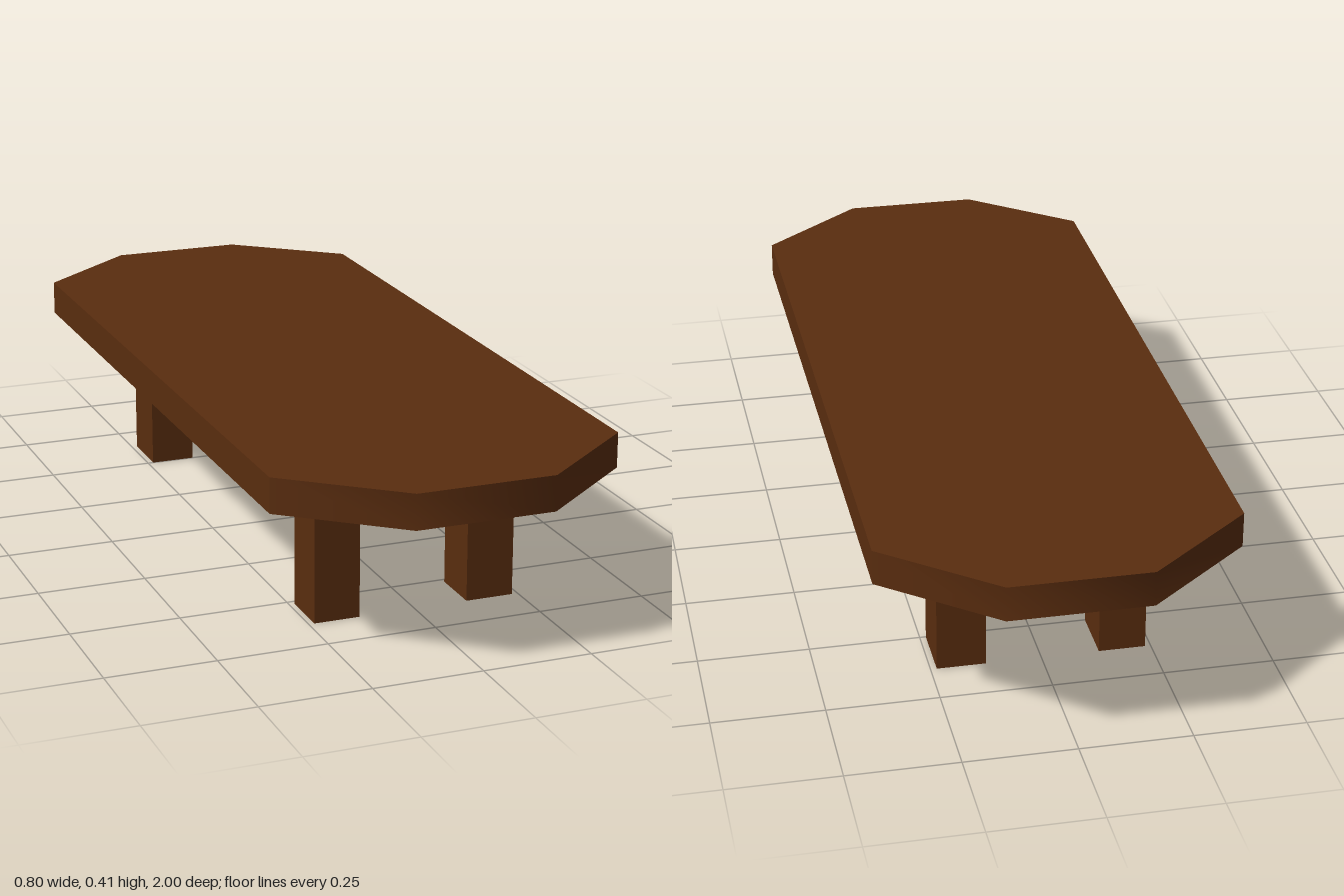
import * as THREE from 'three';
import { toCreasedNormals } from 'three/addons/utils/BufferGeometryUtils.js';

const LEG_HEIGHT = 0.333;
const TOP_THICKNESS = 0.08;

export function createModel() {
  const group = new THREE.Group();
  group.name = 'table';
  const wood = new THREE.MeshStandardMaterial({ color: 0x5a2d0f });
  wood.name = 'dark brown wood';

  // Tabletop: long slab with cut corners, softly shaded around each end
  const outline = [
    [0.4, -0.8], [0.4, 0.8], [0.157, 1], [-0.157, 1],
    [-0.4, 0.8], [-0.4, -0.8], [-0.157, -1], [0.157, -1],
  ].map(([x, y]) => new THREE.Vector2(x, y));
  const slab = new THREE.ExtrudeGeometry(new THREE.Shape(outline), {
    depth: TOP_THICKNESS,
    bevelEnabled: false,
  });
  slab.rotateX(-Math.PI / 2);
  const tableTop = new THREE.Mesh(toCreasedNormals(slab, Math.PI / 4), wood);
  tableTop.name = 'tableTop';
  tableTop.position.y = LEG_HEIGHT;
  group.add(tableTop);

  // Four square posts, given by their extents in x and z
  const sidesX = { Right: [-0.237, -0.131], Left: [0.125, 0.236] };
  const endsZ = { front: [0.513, 0.635], back: [-0.635, -0.5] };
  for (const [end, [z0, z1]] of Object.entries(endsZ)) {
    for (const [side, [x0, x1]] of Object.entries(sidesX)) {
      const leg = new THREE.Mesh(new THREE.BoxGeometry(x1 - x0, LEG_HEIGHT, z1 - z0), wood);
      leg.name = `${end}${side}Leg`;
      leg.position.set((x0 + x1) / 2, LEG_HEIGHT / 2, (z0 + z1) / 2);
      group.add(leg);
    }
  }
  return group;
}
